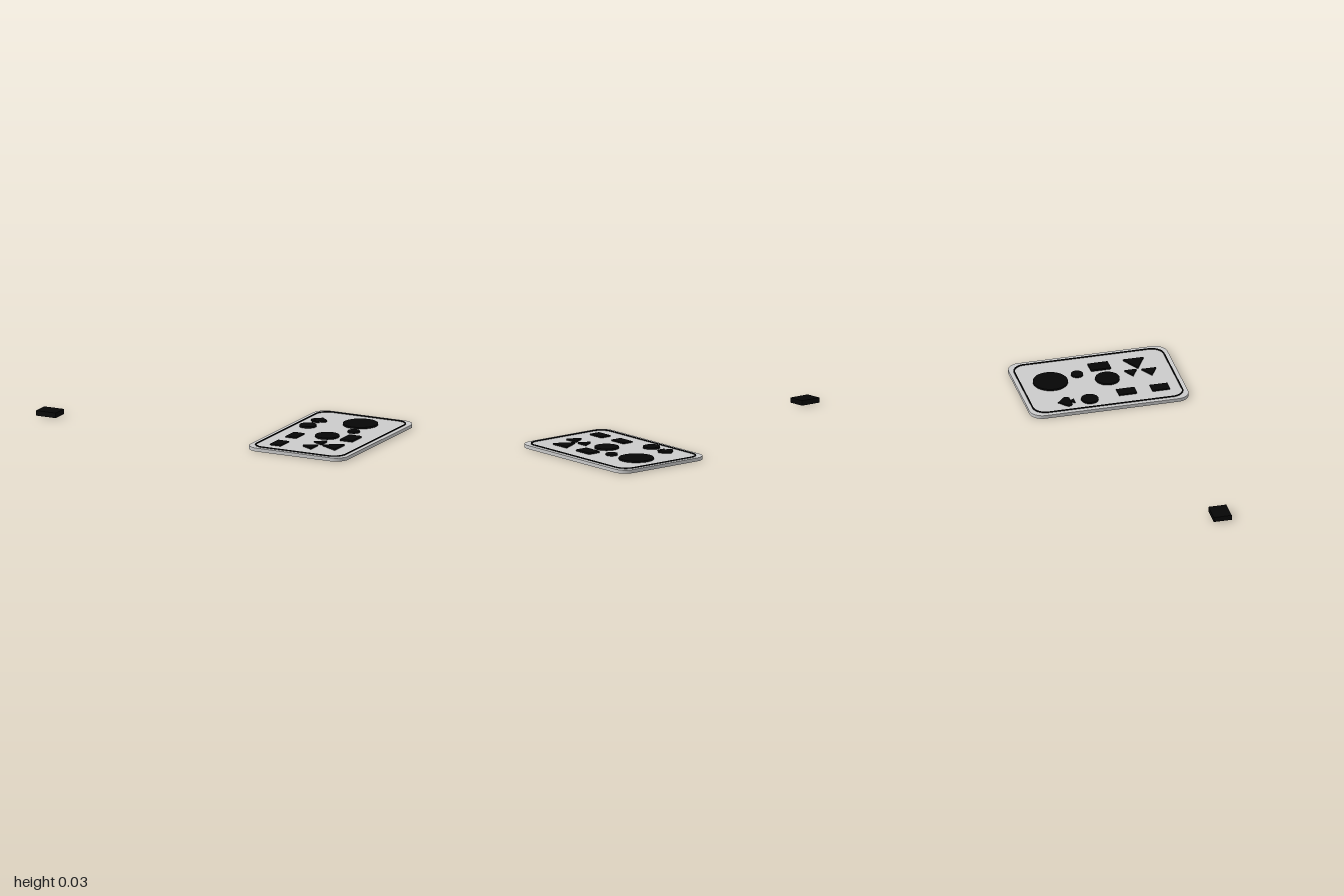
import * as THREE from 'three';

// Shapes are drawn in plan: shape x = model x, shape y = -z.
function roundedRect(target, cx, w, d, r) {
  const x0 = cx - w / 2, x1 = cx + w / 2, y0 = -d / 2, y1 = d / 2;
  target.moveTo(x0 + r, y0);
  target.lineTo(x1 - r, y0);
  target.absarc(x1 - r, y0 + r, r, -Math.PI / 2, 0, false);
  target.absarc(x1 - r, y1 - r, r, 0, Math.PI / 2, false);
  target.absarc(x0 + r, y1 - r, r, Math.PI / 2, Math.PI, false);
  target.absarc(x0 + r, y0 + r, r, Math.PI, Math.PI * 1.5, false);
  return target;
}

export function createModel() {
  const model = new THREE.Group();
  const grey = new THREE.MeshStandardMaterial({ color: 0xcccccc });
  const black = new THREE.MeshStandardMaterial({ color: 0x060606 });

  // Lay a flat shape on the ground plane between two heights.
  function slab(name, shape, y0, y1, material) {
    const geo = new THREE.ExtrudeGeometry(shape, { depth: y1 - y0, bevelEnabled: false, curveSegments: 16 });
    geo.rotateX(-Math.PI / 2).translate(0, y0, 0);
    const mesh = new THREE.Mesh(geo, material);
    mesh.name = name;
    model.add(mesh);
  }

  // Card body and thin inset border
  const cx = 0.692;
  slab('cardBody', roundedRect(new THREE.Shape(), cx, 0.616, 0.924, 0.075), 0, 0.02, grey);
  const border = roundedRect(new THREE.Shape(), cx, 0.564, 0.876, 0.075);
  border.holes.push(roundedRect(new THREE.Path(), cx, 0.55, 0.862, 0.068));
  slab('cardBorder', border, 0.019, 0.025, black);

  // Round marks: x, z, radius
  [[0.744, -0.266, 0.099], [0.787, -0.1, 0.034], [0.497, -0.1, 0.049], [0.698, 0.054, 0.069]]
    .forEach(([x, z, r], i) => {
      const disc = new THREE.Mesh(new THREE.CylinderGeometry(r, r, 0.011, 40), black);
      disc.position.set(x, 0.0245, z);
      disc.name = `discMark${i + 1}`;
      model.add(disc);
    });

  // Rectangular marks and the loose block: name, x, z, width, depth, bottom, top
  [['barMark1', 0.53, 0.123, 0.066, 0.105, 0.019, 0.028],
    ['barMark2', 0.53, 0.316, 0.066, 0.102, 0.019, 0.028],
    ['barMark3', 0.842, 0.044, 0.077, 0.116, 0.019, 0.03],
    ['looseBlock', -0.937, 0.288, 0.126, 0.104, 0.005, 0.034]]
    .forEach(([name, x, z, w, d, y0, y1]) => {
      const box = new THREE.Mesh(new THREE.BoxGeometry(w, y1 - y0, d), black);
      box.position.set(x, (y0 + y1) / 2, z);
      box.name = name;
      model.add(box);
    });

  // Triangles pointing to -x: tip x, z, length, base width
  [[0.692, 0.203, 0.064, 0.071], [0.769, 0.25, 0.108, 0.12], [0.674, 0.308, 0.073, 0.084]]
    .forEach(([x, z, len, w], i) => {
      const tri = new THREE.Shape();
      tri.moveTo(x, -z);
      tri.lineTo(x + len, -z - w / 2);
      tri.lineTo(x + len, -z + w / 2);
      tri.closePath();
      slab(`triangleMark${i + 1}`, tri, 0.019, 0.03, black);
    });

  // Spade pip: pointed top, two lobes and a flared foot
  const px = 0.5, py = 0.235;
  const spade = new THREE.Shape();
  spade.moveTo(px, py + 0.048);
  spade.bezierCurveTo(px - 0.012, py + 0.028, px - 0.05, py + 0.015, px - 0.048, py - 0.007);
  spade.bezierCurveTo(px - 0.046, py - 0.03, px - 0.018, py - 0.03, px - 0.008, py - 0.016);
  spade.quadraticCurveTo(px - 0.01, py - 0.04, px - 0.024, py - 0.047);
  spade.lineTo(px + 0.024, py - 0.047);
  spade.quadraticCurveTo(px + 0.01, py - 0.04, px + 0.008, py - 0.016);
  spade.bezierCurveTo(px + 0.018, py - 0.03, px + 0.046, py - 0.03, px + 0.048, py - 0.007);
  spade.bezierCurveTo(px + 0.05, py + 0.015, px + 0.012, py + 0.028, px, py + 0.048);
  slab('spadePip', spade, 0.019, 0.028, black);

  return model;
}
